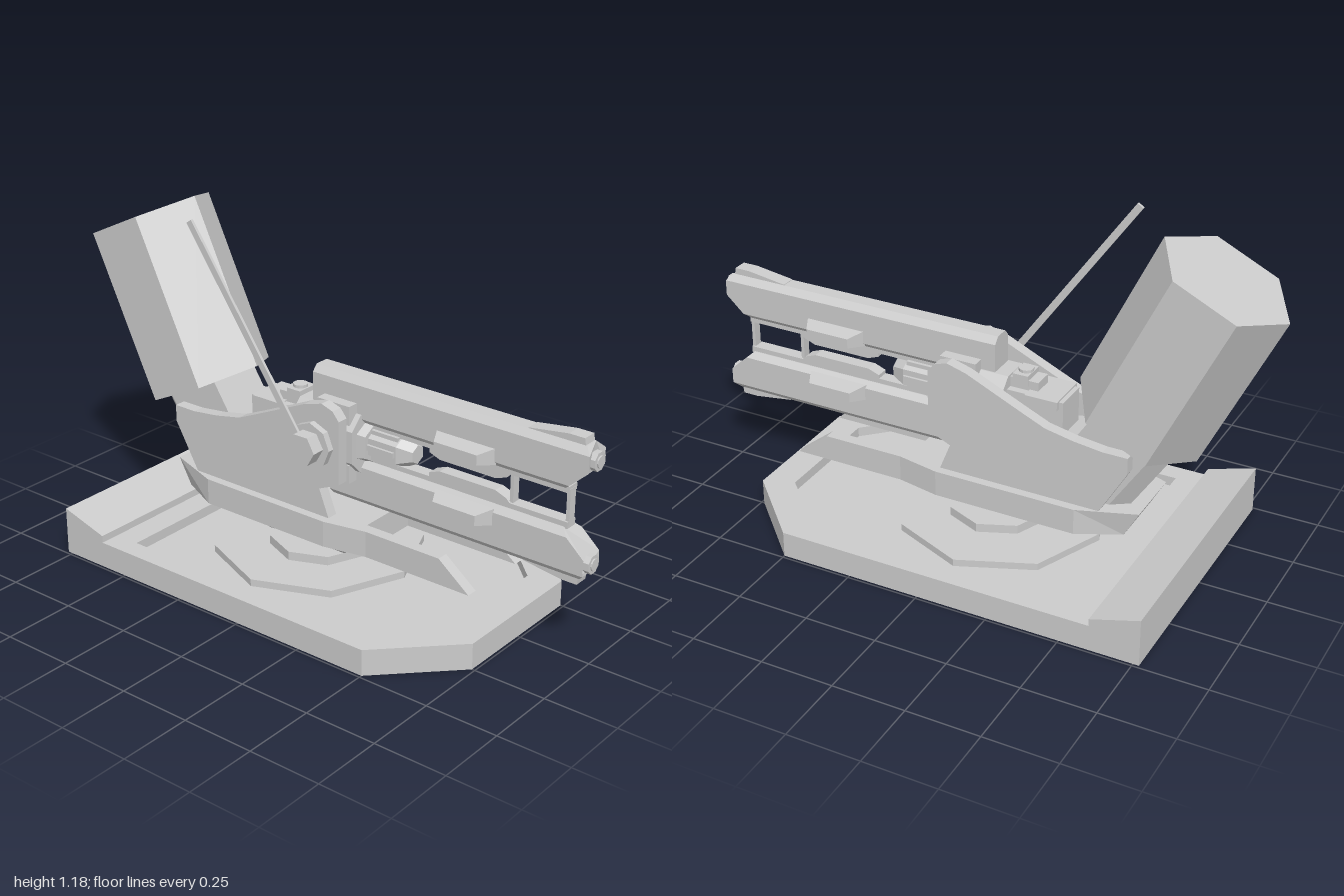
import * as THREE from 'three';

const material = new THREE.MeshStandardMaterial({ color: 0xcccccc, flatShading: true });
const AXIS_Y = 0.512; // height of the gun's centre line

export function createModel() {
  const model = new THREE.Group();

  const add = (name, geo, x = 0, y = 0, z = 0) => {
    const mesh = new THREE.Mesh(geo, material);
    mesh.name = name;
    mesh.position.set(x, y, z);
    model.add(mesh);
    return mesh;
  };
  const shapeOf = (pts, hole) => {
    const s = new THREE.Shape(pts.map(p => new THREE.Vector2(...p)));
    if (hole) s.holes.push(new THREE.Path(hole.map(p => new THREE.Vector2(...p))));
    return s;
  };
  const extrude = (pts, depth, hole) =>
    new THREE.ExtrudeGeometry(shapeOf(pts, hole), { depth, bevelEnabled: false });
  // profile in (x, y), running from z0 to z1
  const alongZ = (pts, z0, z1) => extrude(pts, z1 - z0).translate(0, 0, z0);
  // profile in (z, y), running from x0 to x1
  const alongX = (pts, x0, x1) => extrude(pts, x1 - x0).rotateY(-Math.PI / 2).translate(x1, 0, 0);
  // plan in (x, z), running from y0 to y1
  const alongY = (pts, y0, y1, hole) => extrude(pts, y1 - y0, hole).rotateX(Math.PI / 2).translate(0, y1, 0);
  // half outline mirrored in x into a closed one
  const mirrorX = half => [...half, ...half.map(([x, v]) => [-x, v]).reverse()];
  const box = (x0, x1, y0, y1, z0, z1) =>
    new THREE.BoxGeometry(x1 - x0, y1 - y0, z1 - z0).translate((x0 + x1) / 2, (y0 + y1) / 2, (z0 + z1) / 2);
  // moves every vertex by a rule
  const warp = (geo, rule) => {
    const p = geo.attributes.position, v = new THREE.Vector3();
    for (let i = 0; i < p.count; i++) {
      rule(v.fromBufferAttribute(p, i));
      p.setXYZ(i, v.x, v.y, v.z);
    }
    geo.computeVertexNormals();
    return geo;
  };

  // Base plate with a recessed deck and a rear ramp
  const outline = mirrorX([[0.49, -0.77], [0.49, 0.5], [0.25, 0.74]]);
  const recess = mirrorX([[0.42, -0.51], [0.42, 0.42], [0.21, 0.635]]);
  add('baseFloor', alongY(outline, 0, 0.055));
  add('baseRim', alongY(outline, 0.055, 0.09, recess));
  add('rearRamp', alongX([[-0.6, 0.09], [-0.6, 0.115], [-0.77, 0.165], [-0.77, 0.09]], -0.49, 0.49));

  // Turntable discs
  add('turntable', new THREE.CylinderGeometry(0.355, 0.355, 0.025, 8).rotateY(Math.PI / 4), 0, 0.067, -0.06);
  add('turntableRing', new THREE.CylinderGeometry(0.177, 0.177, 0.04, 8).rotateY(Math.PI / 4), 0, 0.09, -0.05);

  // Flared pedestal under the cradle
  add('pedestal', warp(box(-1, 1, 0, 1, -1, 1), v => {
    const top = v.y > 0.5;
    v.set(v.x * (top ? 0.11 : 0.065), top ? 0.182 : 0.1,
      v.z > 0 ? (top ? 0.225 : 0.08) : (top ? -0.54 : -0.225));
  }));

  // Forked cradle with sloping front and back ends
  const cradle = mirrorX([[0.11, 0.225], [0.11, 0.65], [0.15, 0.65], [0.15, 0.25], [0.18, 0.1], [0.18, -0.4], [0.11, -0.545]]);
  add('cradle', warp(alongY(cradle, 0.18, 0.27), v => {
    if (v.y > 0.25 && v.z > 0.5) v.z -= 0.115;
    if (v.y > 0.25 && v.z < -0.5) v.z -= 0.05;
  }));

  // Side plates that carry the gun
  const plate = [[0.14, 0.4], [0.14, 0.62], [0.115, 0.65], [0.07, 0.665], [0, 0.645], [-0.2, 0.555], [-0.28, 0.52],
    [-0.38, 0.5], [-0.48, 0.488], [-0.565, 0.488], [-0.565, 0.43], [-0.47, 0.265], [0.1, 0.265], [0.06, 0.365]];
  for (const s of [-1, 1]) {
    add('sidePlate', alongX(plate, s * 0.13 - 0.02, s * 0.13 + 0.02));
  }
  add('cradleBody', alongX([[-0.08, 0.265], [-0.2, 0.42], [-0.36, 0.45], [-0.47, 0.265]], -0.11, 0.11));

  // Magazine: tall hexagonal canister leaning back on a chamfered neck
  const lean = -0.449;
  const magazine = add('magazine', new THREE.CylinderGeometry(0.225, 0.225, 0.6, 6).scale(0.913, 1, 1), 0, 0.815, -0.6625);
  magazine.rotation.x = lean;
  const neckPlan = mirrorX([[0.06, -0.14], [0.1, -0.09], [0.1, 0.13]]);
  const neck = add('magazineNeck', alongY(neckPlan, -0.16, 0.17), 0, 0.425, -0.48);
  neck.rotation.x = -0.58;

  // Receiver block between the plates
  const receiver = mirrorX([[0.05, 0.1], [0.095, 0.055], [0.095, -0.055], [0.05, -0.1]])
    .map(([x, y]) => [x, y + AXIS_Y]);
  add('receiver', alongZ(receiver, -0.1, 0.15));
  add('receiverTail', box(-0.06, 0.06, 0.45, 0.57, -0.3, -0.1));
  add('trunnion', new THREE.CylinderGeometry(0.06, 0.06, 0.3, 12).rotateZ(Math.PI / 2), 0, 0.53, 0.04);

  // Central barrel with stepped hexagonal muzzle
  const barrel = (name, r0, r1, z0, z1) =>
    add(name, new THREE.CylinderGeometry(r1, r0, z1 - z0, 6).rotateX(Math.PI / 2), 0, AXIS_Y, (z0 + z1) / 2);
  barrel('barrelCollar', 0.085, 0.075, 0.14, 0.18);
  barrel('barrel', 0.058, 0.058, 0.17, 0.29);
  barrel('barrelMuzzle', 0.058, 0.032, 0.29, 0.34);
  for (let i = 0; i < 6; i++) {
    const a = i * Math.PI / 3;
    add('barrelRib', new THREE.BoxGeometry(0.018, 0.018, 0.11), 0.05 * Math.cos(a), AXIS_Y + 0.05 * Math.sin(a), 0.23);
  }

  // Two long rails, mirrored about the gun's centre line
  for (const s of [1, -1]) {
    const flip = pts => pts.map(([a, y]) => [a, AXIS_Y + s * y]);
    const slab = (x0, x1, y0, y1, z0, z1) =>
      s > 0 ? box(x0, x1, AXIS_Y + y0, AXIS_Y + y1, z0, z1) : box(x0, x1, AXIS_Y - y1, AXIS_Y - y0, z0, z1);
    const profile = mirrorX([[0.025, 0.065], [0.045, 0.085], [0.045, 0.143], [0.045, 0.198], [0.025, 0.22]]);
    add('rail', warp(alongZ(flip(profile), s > 0 ? -0.05 : 0.02, 0.985), v => {
      const h = Math.abs(v.y - AXIS_Y);
      if (v.z > 0.5) v.z -= Math.max(0, 0.143 - h) * 1.1 + Math.max(0, h - 0.198);
    }));
    // raised strip at the tip
    add('railStrip', alongX(flip([[0.96, 0.21], [0.955, 0.242], [0.9, 0.242], [0.76, 0.222], [0.76, 0.21]]), -0.025, 0.025));
    // muzzle nub
    add('railTip', new THREE.CylinderGeometry(0.032, 0.032, 0.02, 8).rotateX(Math.PI / 2).rotateZ(Math.PI / 8), 0, AXIS_Y + s * 0.17, 0.985);
    add('railTipCore', new THREE.CylinderGeometry(0.02, 0.02, 0.01, 12).rotateX(Math.PI / 2), 0, AXIS_Y + s * 0.17, 0.995);
    // inner strip and tapered guide
    add('innerStrip', slab(-0.022, 0.022, 0.048, 0.07, 0.1, 0.91));
    add('innerGuide', alongX(flip([[0.71, 0.055], [0.69, 0.035], [0.65, 0.02], [0.44, 0.02], [0.4, 0.035], [0.4, 0.055]]), -0.022, 0.022));
    // bevelled pods on both flanks
    for (const side of [1, -1]) {
      add('railPod', warp(slab(-0.5, 0.5, 0.074, 0.13, 0.44, 0.66), v => {
        const outer = v.x * side > 0;
        v.x = side * (outer ? 0.1 : 0.04);
        if (outer) {
          v.z = 0.55 + (v.z - 0.55) * 0.72;
          v.y = AXIS_Y + s * (0.102 + (Math.abs(v.y - AXIS_Y) - 0.102) * 0.6);
        }
      }));
      // clamp joining rail and receiver
      add('railClamp', slab(side > 0 ? 0.04 : -0.085, side > 0 ? 0.085 : -0.04, 0.07, 0.135, 0, 0.13));
    }
  }

  // Thin struts joining the rails
  for (const [z, w] of [[0.905, 0.012], [0.705, 0.012]]) {
    add('railStrut', new THREE.BoxGeometry(0.03, 0.12, w), 0, AXIS_Y, z);
  }

  // Rear sight and breech shelf
  add('sightShelf', box(-0.075, 0.075, 0.545, 0.575, -0.285, -0.17));
  add('sightMount', box(-0.035, 0.035, 0.565, 0.605, -0.2, -0.03));
  add('sightBlock', box(-0.04, 0.04, 0.585, 0.622, -0.165, -0.11));
  add('sightKnob', new THREE.CylinderGeometry(0.025, 0.025, 0.02, 12), 0, 0.622, -0.14);

  // Antenna and its hub on the right flank
  add('antennaFlange', new THREE.CylinderGeometry(0.078, 0.078, 0.025, 8).rotateZ(Math.PI / 2), -0.16, 0.52, 0.04);
  add('antennaHub', new THREE.CylinderGeometry(0.055, 0.055, 0.05, 6).rotateZ(Math.PI / 2), -0.194, 0.52, 0.04);
  const antenna = add('antenna', new THREE.BoxGeometry(0.01, 0.8, 0.024), -0.195, 0.85, -0.2);
  antenna.rotation.x = -0.615;

  return model;
}
